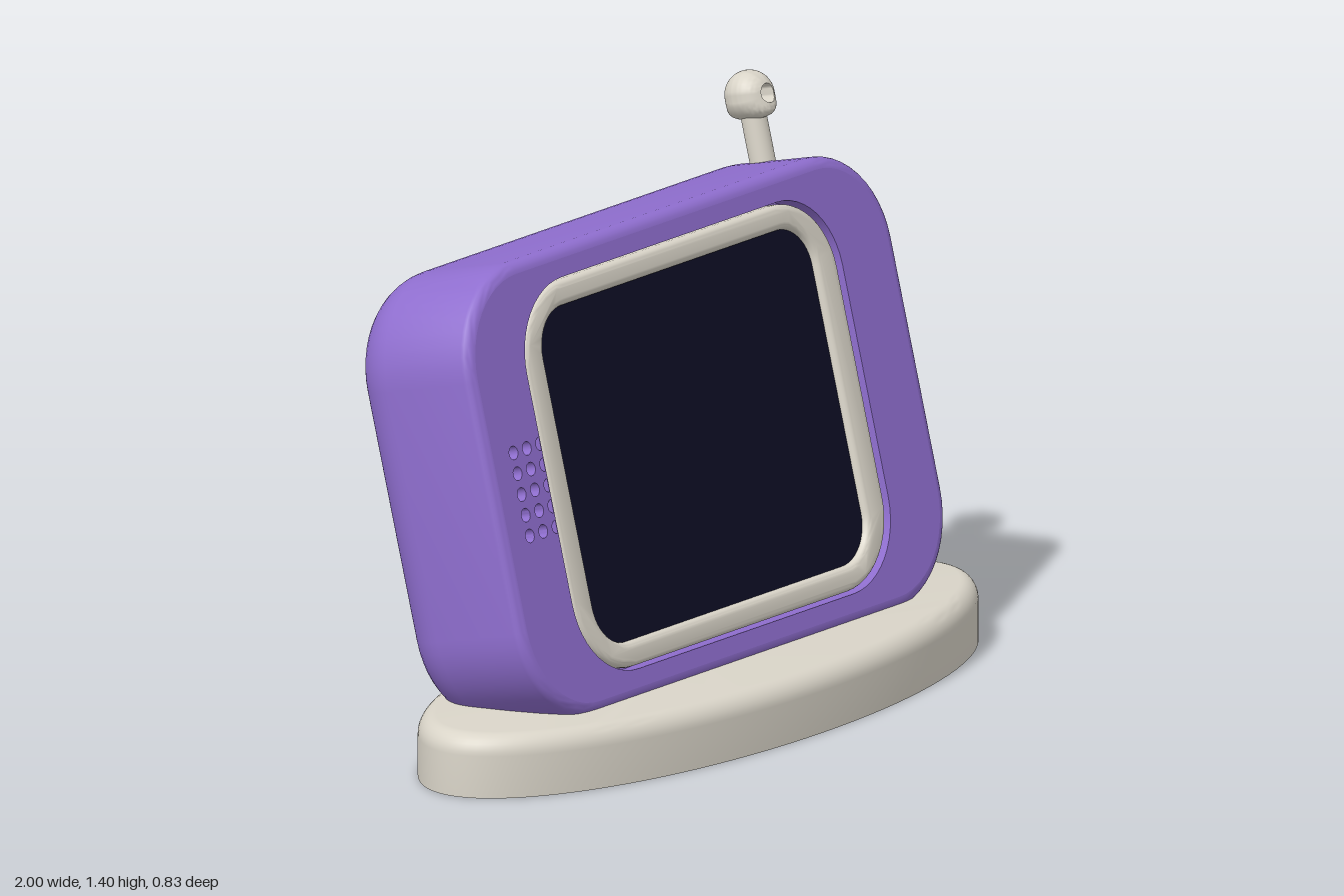
import * as THREE from 'three';
import { toCreasedNormals } from 'three/addons/utils/BufferGeometryUtils.js';

const purple = new THREE.MeshStandardMaterial({ color: 0x8f6ecf });
purple.name = 'purple shell';
const cream = new THREE.MeshStandardMaterial({ color: 0xd9d4c8 });
cream.name = 'cream plastic';
const navy = new THREE.MeshStandardMaterial({ color: 0x0d0d24 });
navy.name = 'dark glass';

const HW = 0.845, HH = 0.56, R = 0.25, DEPTH = 0.39; // shell half-width, half-height, corner, depth
const BACK_R = 0.13, FRONT_R = 0.03;                 // edge rounding

// Outline of a rounded rectangle, counter-clockwise
function roundRect(hw, hh, r, cx = 0, cy = 0, seg = 12) {
  const pts = [];
  for (let q = 0; q < 4; q++) {
    const sx = q === 0 || q === 3 ? 1 : -1, sy = q < 2 ? 1 : -1;
    for (let i = 0; i <= seg; i++) {
      const a = (q + i / seg) * Math.PI / 2;
      pts.push(new THREE.Vector2(cx + sx * (hw - r) + r * Math.cos(a), cy + sy * (hh - r) + r * Math.sin(a)));
    }
  }
  return pts;
}

function arc(cx, cy, r, from, to, seg = 14) {
  const pts = [];
  for (let i = 0; i <= seg; i++) {
    const a = from + (to - from) * i / seg;
    pts.push(new THREE.Vector2(cx + r * Math.cos(a), cy + r * Math.sin(a)));
  }
  return pts;
}

// Skin through rings [{ pts, z }] running from back to front
function loft(rings, crease = 0.6) {
  const pos = [], idx = [], n = rings[0].pts.length;
  rings.forEach(({ pts, z }) => pts.forEach(p => pos.push(p.x, p.y, z)));
  for (let k = 0; k < rings.length - 1; k++) {
    for (let i = 0; i < n; i++) {
      const a = k * n + i, b = k * n + (i + 1) % n;
      idx.push(a, b, b + n, a, b + n, a + n);
    }
  }
  const g = new THREE.BufferGeometry();
  g.setAttribute('position', new THREE.Float32BufferAttribute(pos, 3));
  g.setIndex(idx);
  return toCreasedNormals(g, crease);
}

// Flat plate with cut-outs, from z0 to z0 + depth
function plate(outline, holes, z0, depth) {
  const s = new THREE.Shape(outline);
  holes.forEach(h => s.holes.push(new THREE.Path(h)));
  return toCreasedNormals(new THREE.ExtrudeGeometry(s, { depth, bevelEnabled: false }).translate(0, 0, z0), 0.6);
}

function add(parent, name, geo, mat) {
  const m = new THREE.Mesh(geo, mat);
  m.name = name;
  parent.add(m);
  return m;
}

const shellOutline = inset => roundRect(HW - inset, HH - inset, R - inset);

export function createModel() {
  const model = new THREE.Group();
  model.name = 'deskDevice';

  // Oval base with a rounded top edge
  const oval = inset => arc(0, 0, 1, 0, Math.PI * 2, 96).slice(0, -1)
    .map(p => new THREE.Vector2(p.x * (1 - inset), p.y * (0.378 - inset)));
  const center = oval(0).map(() => new THREE.Vector2());
  const rings = [{ pts: center, z: 0 }, { pts: oval(0), z: 0 }];
  for (let i = 0; i <= 8; i++) {
    const a = i / 8 * Math.PI / 2;
    rings.push({ pts: oval(0.05 * (1 - Math.cos(a))), z: 0.105 + 0.05 * Math.sin(a) });
  }
  rings.push({ pts: center, z: 0.155 });
  add(model, 'base', loft(rings).rotateX(-Math.PI / 2), cream).position.z = 0.041;

  // Everything above the base leans back together
  const body = new THREE.Group();
  body.name = 'body';
  body.position.set(0, 0.688, 0.07);
  body.rotation.x = -14 * Math.PI / 180;
  model.add(body);

  // Shell sides: wide rounding at the back, tight at the front
  const side = [];
  for (let i = 0; i <= 10; i++) {
    const a = i / 10 * Math.PI / 2;
    side.push({ pts: shellOutline(BACK_R * (1 - Math.sin(a))), z: -DEPTH + BACK_R * (1 - Math.cos(a)) });
  }
  for (let i = 0; i <= 6; i++) {
    const a = i / 6 * Math.PI / 2;
    side.push({ pts: shellOutline(FRONT_R * (1 - Math.cos(a))), z: -FRONT_R + FRONT_R * Math.sin(a) });
  }
  add(body, 'shellSides', loft(side), purple);

  // Front face with screen pocket and speaker holes; the inner column is cut by the pocket
  const frontHoles = [roundRect(0.627, 0.486, 0.2)];
  for (let row = 0; row < 5; row++) {
    const y = -0.09 + row * 0.0515;
    for (const x of [-0.735, -0.682]) frontHoles.push(arc(x, y, 0.017, 0, Math.PI * 2).slice(0, -1));
    frontHoles.push(arc(-0.629, y, 0.017, Math.PI / 2, Math.PI * 1.5));
  }
  add(body, 'frontFace', plate(shellOutline(FRONT_R), frontHoles, -0.06, 0.06), purple);
  add(body, 'pocketFloor', new THREE.BoxGeometry(1.27, 1, 0.02).translate(0, 0, -0.072), purple);
  add(body, 'speakerPlate', new THREE.BoxGeometry(0.14, 0.27, 0.008).translate(-0.69, 0.013, -0.065), cream);

  // Back face with a grille of horizontal slots
  const slots = [];
  for (let i = 0; i < 20; i++) slots.push(roundRect(0.645, 0.009, 0.008, 0, -0.375 + i * 0.0358, 3));
  add(body, 'backGrille', plate(shellOutline(BACK_R), slots, -DEPTH, 0.03), purple);
  add(body, 'grilleFloor', new THREE.BoxGeometry(1.36, 0.78, 0.01).translate(0, -0.035, -DEPTH + 0.035), purple);

  // Rounded frame and screen
  const b = 0.018;
  const frameShape = new THREE.Shape(roundRect(0.62 - b, 0.479 - b, 0.195 - b));
  frameShape.holes.push(new THREE.Path(roundRect(0.54 + b, 0.417 + b, 0.11 + b)));
  const frame = new THREE.ExtrudeGeometry(frameShape, {
    depth: 0.02, bevelSize: b, bevelThickness: b, bevelSegments: 5,
  }).translate(0, 0, -0.02 - b - 0.004);
  add(body, 'screenFrame', toCreasedNormals(frame, 0.6), cream);
  add(body, 'screen', plate(roundRect(0.56, 0.437, 0.12), [], -0.03, 0.008), navy);

  // Antenna: stem and drilled bead
  const antenna = new THREE.Group();
  antenna.name = 'antenna';
  antenna.position.set(0.635, 0, -0.19);
  body.add(antenna);
  add(antenna, 'antennaStem', new THREE.CylinderGeometry(0.032, 0.032, 0.16, 32).translate(0, 0.61, 0), cream);
  const r = 0.061, hole = 0.024, a0 = Math.acos(hole / r);
  const profile = arc(0, 0, r, -a0, a0, 24);
  profile.push(profile[0].clone());
  let bead = new THREE.LatheGeometry(profile, 40).rotateX(Math.PI / 2);
  // Bead flares front to back below its middle
  const p = bead.attributes.position;
  for (let i = 0; i < p.count; i++) {
    const low = Math.max(0, -p.getY(i)) / r;
    p.setZ(i, p.getZ(i) * (1 + 0.9 * low * low));
  }
  bead = toCreasedNormals(bead, 0.7);
  add(antenna, 'antennaBead', bead, cream).position.y = 0.723;

  return model;
}
